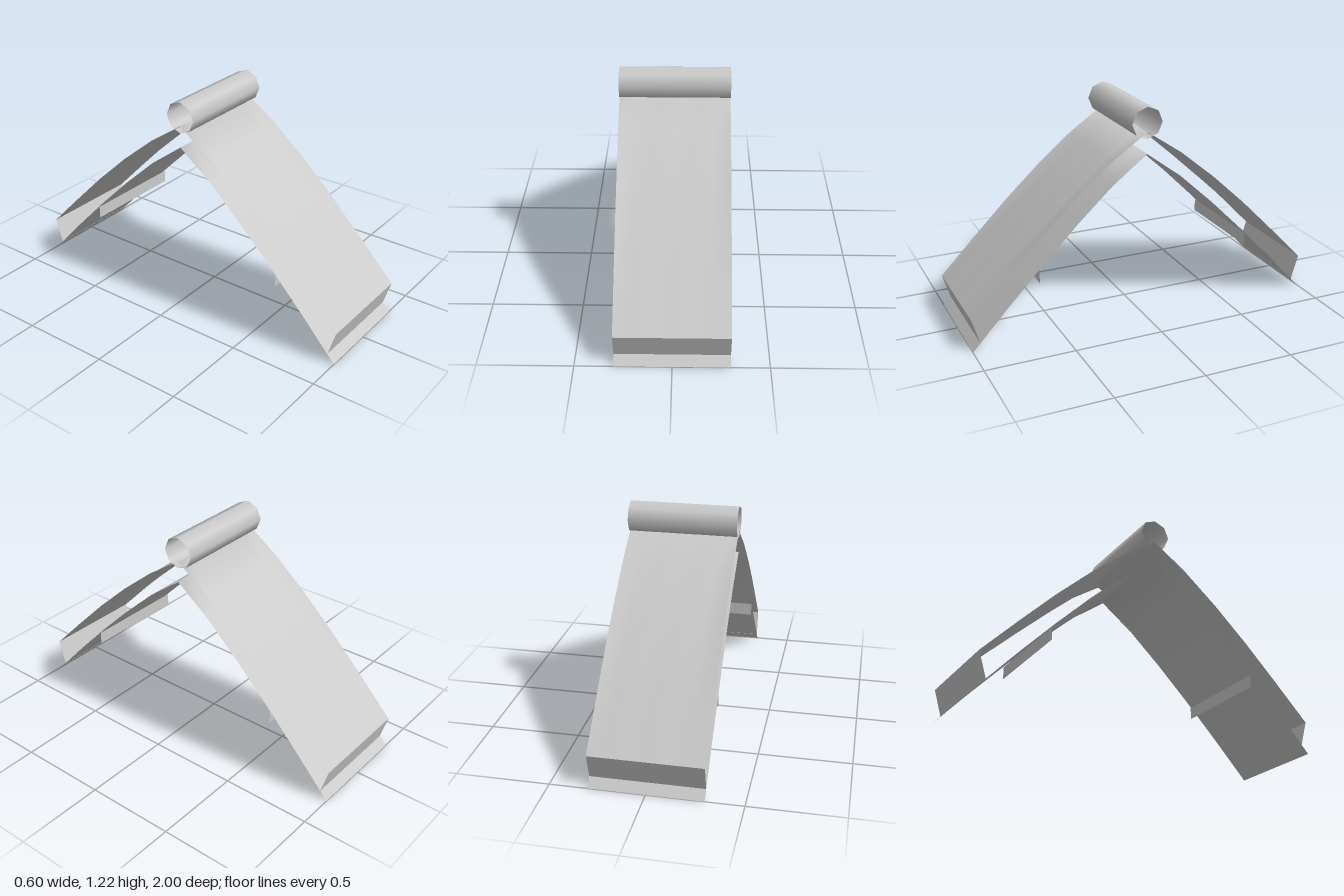
import * as THREE from 'three';

const WIDTH = 0.6;
const BOW = 1.15; // exponent that bows both sheets outward
const material = new THREE.MeshStandardMaterial({ color: 0xcccccc, side: THREE.DoubleSide });

function addMesh(parent, geometry, name) {
  const mesh = new THREE.Mesh(geometry, material);
  mesh.name = name;
  parent.add(mesh);
  return mesh;
}

// Sheet folded over the ridge: height(x, t), t runs from ridge (0) to eave (1)
function foldedSheet(height) {
  const geometry = new THREE.PlaneGeometry(WIDTH, 2, 6, 10).rotateX(-Math.PI / 2);
  const p = geometry.attributes.position;
  for (let i = 0; i < p.count; i++) {
    p.setY(i, height(p.getX(i), Math.abs(p.getZ(i))));
  }
  geometry.computeVertexNormals();
  return geometry;
}

// Slight waviness across the width, strongest halfway down the slope
function ripple(x, t) {
  const amount = 0.011 * Math.sin(Math.PI * t) ** 2 + 0.003 * (1 - t);
  return -amount * Math.cos(10 * Math.PI * x);
}

// Flat board across the width, from (y0, z0) at the top to (y1, z1) at the bottom
function board(y0, z0, y1, z1) {
  const h = WIDTH / 2;
  const geometry = new THREE.BufferGeometry();
  geometry.setAttribute('position', new THREE.Float32BufferAttribute(
    [-h, y0, z0, -h, y1, z1, h, y1, z1, h, y0, z0], 3));
  geometry.setIndex([0, 1, 2, 0, 2, 3]);
  geometry.computeVertexNormals();
  return geometry;
}

export function createModel() {
  const roof = new THREE.Group();
  roof.name = 'roofSection';

  // Bowed, rippled outer covering and smooth inner lining
  addMesh(roof, foldedSheet((x, t) => 1.075 - 0.888 * t ** BOW + ripple(x, t)), 'roofCovering');
  addMesh(roof, foldedSheet((x, t) => 0.957 * (1 - t ** BOW)), 'roofLining');

  // Open ridge roll
  const ridge = new THREE.CylinderGeometry(0.088, 0.088, WIDTH, 8, 1, true).rotateZ(Math.PI / 2);
  addMesh(roof, ridge, 'ridgeRoll').position.y = 1.127;

  // Eave board and purlin on both slopes
  for (const [side, s] of [['front', 1], ['back', -1]]) {
    const slope = new THREE.Group();
    slope.name = side + 'SlopeBoards';
    addMesh(slope, board(0.187, s, 0.045, 0.957 * s), side + 'EaveBoard');
    addMesh(slope, board(0.4, 0.62 * s, 0.328, 0.62 * s), side + 'Purlin');
    roof.add(slope);
  }
  return roof;
}
